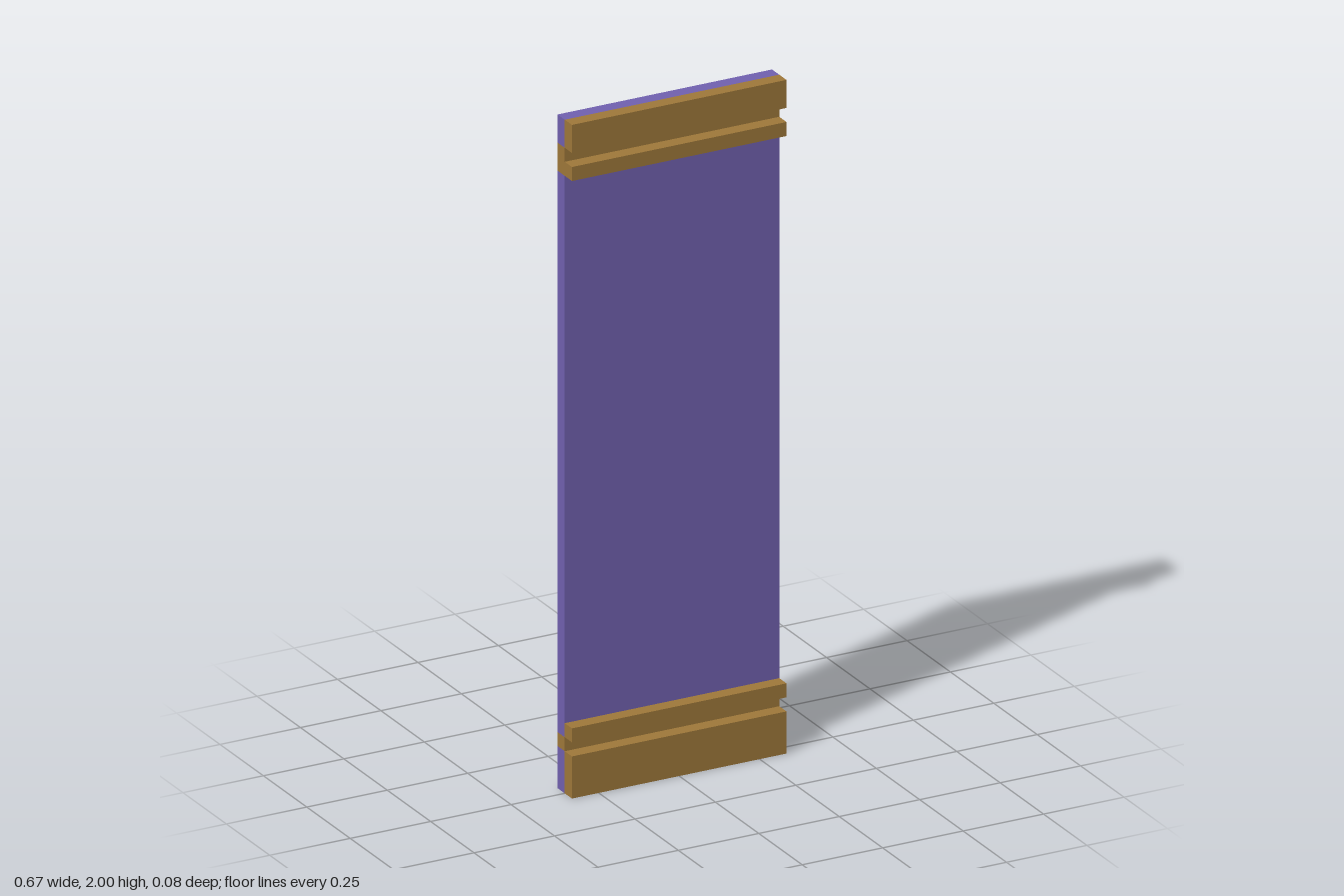
import * as THREE from 'three';

export function createModel() {
  const model = new THREE.Group();
  model.name = 'groovedPanel';

  const purple = new THREE.MeshStandardMaterial({ color: 0x7161b0 });
  purple.name = 'purple';
  const brown = new THREE.MeshStandardMaterial({ color: 0x9f783a });
  brown.name = 'brown';

  const unit = 1 / 24; // layer thickness, also the height of one groove
  const width = 16 * unit;

  // Full-width slab between two heights; layer 1 is in front, -1 behind
  function slab(name, bottom, top, layer, material) {
    const geometry = new THREE.BoxGeometry(width, (top - bottom) * unit, unit);
    const mesh = new THREE.Mesh(geometry, material);
    mesh.name = name;
    mesh.position.set(0, ((bottom + top) / 2) * unit, (layer * unit) / 2);
    model.add(mesh);
  }

  // Back layer: purple panel with brown bands
  slab('panelFoot', 0, 3, -1, purple);
  slab('lowerBand', 3, 4, -1, brown);
  slab('panel', 4, 44, -1, purple);
  slab('upperBand', 44, 46, -1, brown);
  slab('panelHead', 46, 48, -1, purple);

  // Front layer: rails and slats, with a groove between each pair
  slab('bottomRail', 0, 3, 1, brown);
  slab('lowerSlat', 4, 5, 1, brown);
  slab('upperSlat', 44, 45, 1, brown);
  slab('topRail', 46, 48, 1, brown);

  return model;
}
